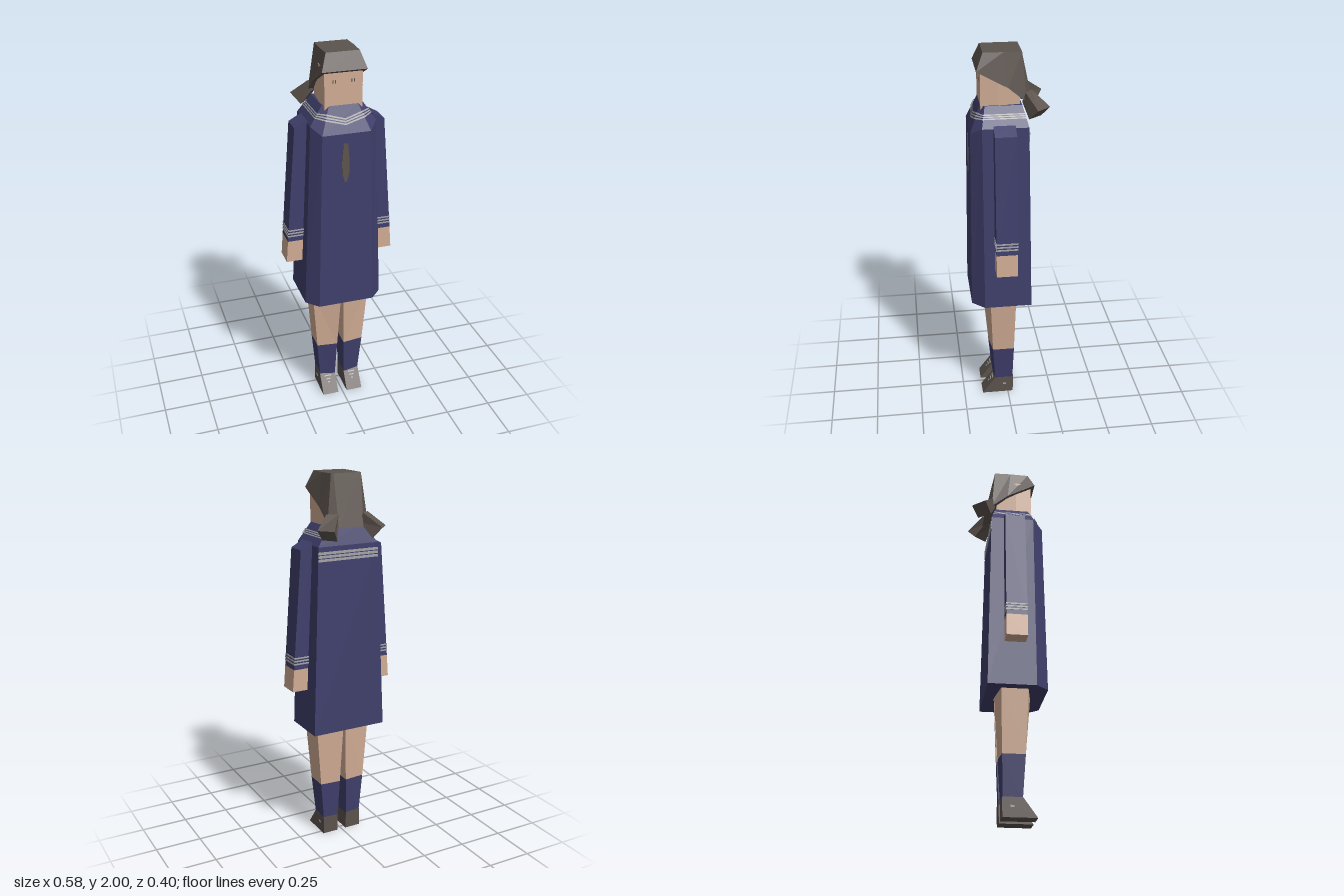
import * as THREE from 'three';

const mat = (name, color) => {
  const m = new THREE.MeshStandardMaterial({ color });
  m.name = name;
  return m;
};

// Closed flat-shaded solid through rings of [x, y, z]; turned outward by its volume.
function loft(rings) {
  const tris = [];
  const n = rings[0].length;
  for (let r = 0; r < rings.length - 1; r++) {
    for (let i = 0; i < n; i++) {
      const j = (i + 1) % n;
      const a = rings[r][i], b = rings[r][j], c = rings[r + 1][j], d = rings[r + 1][i];
      tris.push([a, b, c], [a, c, d]);
    }
  }
  const cap = (ring, flip) => {
    const mid = [0, 1, 2].map(k => ring.reduce((s, p) => s + p[k], 0) / n);
    ring.forEach((p, i) => {
      const q = ring[(i + 1) % n];
      tris.push(flip ? [mid, q, p] : [mid, p, q]);
    });
  };
  cap(rings[0], true);
  cap(rings[rings.length - 1], false);
  const v = p => new THREE.Vector3(...p);
  const volume = tris.reduce((s, [a, b, c]) => s + v(a).dot(v(b).cross(v(c))), 0);
  if (volume < 0) tris.forEach(t => t.reverse());
  return triangles(tris);
}

function triangles(tris) {
  const g = new THREE.BufferGeometry();
  g.setAttribute('position', new THREE.Float32BufferAttribute(tris.flat(2), 3));
  g.computeVertexNormals();
  return g;
}

const lerp = (a, b, t) => a.map((x, k) => x + (b[k] - x) * t);
// Half outline plus its mirror image
const mirrored = half => [...half, ...half.map(([x, y, z]) => [-x, y, z]).reverse()];
// Four-cornered ring: inner and outer edge, each [x, y, zBack, zFront]
const slab = (s, [xi, yi, bi, fi], [xo, yo, bo, fo]) =>
  [[s * xi, yi, fi], [s * xo, yo, fo], [s * xo, yo, bo], [s * xi, yi, bi]];

export function createModel() {
  const model = new THREE.Group();
  const navy = mat('navy cloth', 0x3f3e6b);
  const skin = mat('skin', 0xd0ac94);
  const brown = mat('dark brown', 0x5c534d);
  const grey = mat('pale grey trim', 0xa4a4a6);
  grey.side = THREE.DoubleSide;
  const add = (name, geometry, material, parent = model) => {
    const m = new THREE.Mesh(geometry, material);
    m.name = name;
    parent.add(m);
    return m;
  };

  // Dress: chamfered front, sloping shoulders
  const hem = [[0.15, 0.645, 0.2], [0.21, 0.645, 0.135], [0.21, 0.645, -0.115]];
  const shoulder = [[0.125, 1.61, 0.19], [0.17, 1.645, 0.135], [0.17, 1.645, -0.097]];
  const neck = [[0.075, 1.74, 0.135], [0.105, 1.74, 0.115], [0.105, 1.74, -0.07]];
  add('dress', loft([hem, shoulder, neck].map(mirrored)), navy);

  // Collar stripes: thin ribbons along the shoulders, dipping at the chest
  const collarPoint = (i, t) => {
    const [x, y, z] = lerp(shoulder[i], neck[i], t);
    return [x + 0.003, y + 0.003, z + (i < 2 ? 0.004 : 0)];
  };
  const collarLine = t => {
    const half = [collarPoint(2, t), collarPoint(1, t), collarPoint(0, t + 0.1)];
    const [, y, z] = collarPoint(0, t - 0.1);
    const other = half.map(([x, py, pz]) => [-x, py, pz]).reverse();
    return [...half, [0, y, z], ...other];
  };
  for (let k = 0; k < 3; k++) {
    const low = collarLine(0.39 + k * 0.09), high = collarLine(0.445 + k * 0.09);
    const tris = [];
    for (let i = 0; i < low.length - 1; i++) {
      tris.push([low[i], low[i + 1], high[i + 1]], [low[i], high[i + 1], high[i]]);
    }
    add('collarStripe', triangles(tris), grey);
    const back = add('backCollarStripe', new THREE.BoxGeometry(0.344, 0.013, 0.004), grey);
    back.position.set(0, 1.577 + k * 0.018, -0.099);
  }

  // Tie
  const tieShape = new THREE.Shape([[-0.012, 0.1], [0.012, 0.1], [0.02, 0], [0.018, -0.06],
    [0.006, -0.105], [-0.006, -0.105], [-0.018, -0.06], [-0.02, 0]].map(p => new THREE.Vector2(...p)));
  const tie = add('tie', new THREE.ExtrudeGeometry(tieShape, { depth: 0.004, bevelEnabled: false }), brown);
  tie.position.set(-0.006, 1.46, 0.191);
  tie.rotation.x = -0.01;

  // Head
  const headRing = (y, zb) => mirrored([[0.097, y, 0.135], [0.1, y, 0.05], [0.09, y, zb]]);
  add('head', loft([headRing(1.72, -0.06), headRing(1.93, -0.06)]), skin);

  // Hair cap with a rim falling to the nape
  const rim = [[0.115, 1.915, 0.155], [0.115, 1.83, 0], [0.115, 1.755, -0.09], [0.07, 1.735, -0.125]];
  const crown = [[0.085, 2, 0.12], [0.088, 2, 0.02], [0.085, 2, -0.07], [0.07, 2, -0.07]];
  add('hair', loft([mirrored(rim), mirrored(crown)]), brown);

  for (const s of [1, -1]) {
    const side = new THREE.Group();
    side.name = s > 0 ? 'leftSide' : 'rightSide';
    model.add(side);

    // Pigtail flaring outward and back
    const root = [[0.07, 1.805, -0.12], [0.118, 1.805, -0.085], [0.1, 1.755, -0.07], [0.065, 1.755, -0.105]];
    const tip = [[0.136, 1.735, -0.203], [0.195, 1.735, -0.135], [0.15, 1.68, -0.098], [0.1, 1.68, -0.165]];
    const flip = ring => ring.map(([x, y, z]) => [s * x, y, z]);
    add('pigtail', loft([flip(root), flip(tip)]), brown, side);

    // Eye: two short upright marks
    for (const x of [0.042, 0.054]) {
      const eye = add('eye', new THREE.BoxGeometry(0.004, 0.016, 0.004), brown, side);
      eye.position.set(s * x, 1.86, 0.136);
    }

    // Sleeve, cuff stripes and hand share one tapering outline
    const armRing = (y, grow = 0) => {
      const t = (1.64 - y) / 0.76;
      return slab(s, [0.172 + 0.035 * t - grow, y, -0.029 - grow, 0.08 + grow],
        [0.235 + 0.057 * t + grow, y, -0.029 - grow, 0.08 + grow]);
    };
    const armTop = slab(s, [0.17, 1.66, -0.029, 0.08], [0.235, 1.625, -0.029, 0.08]);
    add('sleeve', loft([armRing(1), armTop]), navy, side);
    add('hand', loft([armRing(0.88), armRing(1)]), skin, side);
    for (const y of [1.026, 1.042, 1.058]) {
      add('cuffStripe', loft([armRing(y, 0.002), armRing(y + 0.008, 0.002)]), grey, side);
    }

    // Leg and sock
    const thigh = slab(s, [0.006, 0.65, -0.06, 0.13], [0.157, 0.65, -0.04, 0.1]);
    const calf = slab(s, [0.019, 0.31, -0.042, 0.1], [0.131, 0.31, -0.032, 0.086]);
    const ankle = slab(s, [0.027, 0.09, -0.03, 0.08], [0.112, 0.09, -0.026, 0.072]);
    add('leg', loft([calf, thigh]), skin, side);
    add('sock', loft([ankle, calf]), navy, side);

    // Shoe with sloping toe and laces
    const sole = slab(s, [0.025, 0, -0.028, 0.145], [0.115, 0, -0.028, 0.145]);
    const shoeTop = slab(s, [0.027, 0.1, -0.031, 0.073], [0.114, 0.1, -0.031, 0.073]);
    add('shoe', loft([sole, shoeTop]), brown, side);
    [0.085, 0.07, 0.055].forEach((y, k) => {
      const lace = add('lace', new THREE.BoxGeometry(0.04 - k * 0.014, 0.006, 0.004), grey, side);
      lace.position.set(s * 0.07, y, 0.145 - 0.72 * y + 0.001);
      lace.rotation.x = -0.62;
    });
    const eyelet = add('shoeEyelet', new THREE.BoxGeometry(0.004, 0.01, 0.018), grey, side);
    eyelet.position.set(s * 0.115, 0.055, 0.02);
  }
  return model;
}
